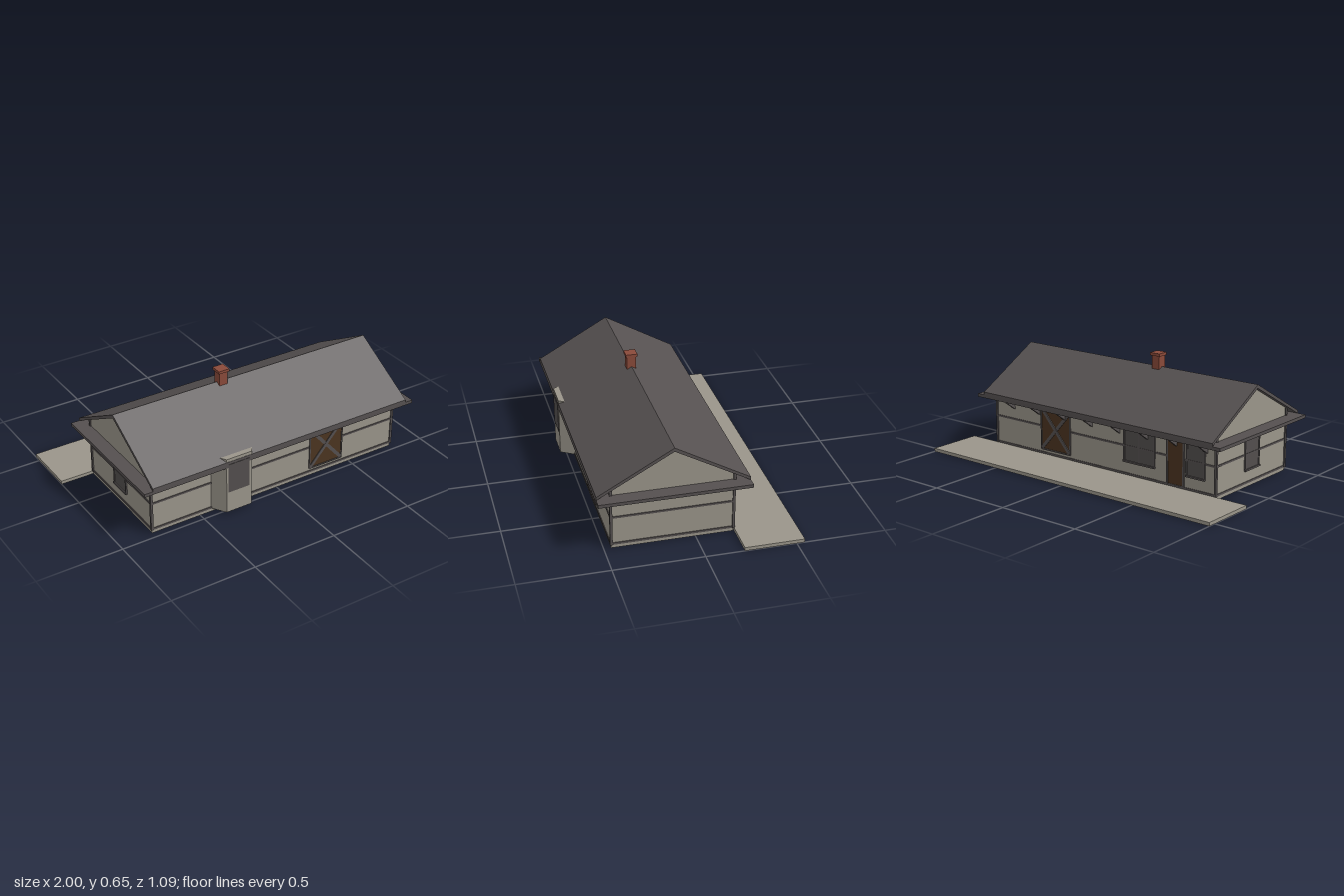
import * as THREE from 'three';

const material = (name, color) => Object.assign(new THREE.MeshStandardMaterial({ color }), { name });

export function createModel() {
  const plaster = material('plaster', 0x9a958a);
  const timber = material('dark timber', 0x555050);
  const roofing = material('roofing', 0x565151);
  const glass = material('glass', 0x524e4d);
  const wood = material('brown wood', 0x4b3420);
  const brick = material('brick', 0x8a4a3a);
  const house = new THREE.Group();
  house.name = 'farmhouse';

  const add = (name, geometry, mat, parent = house) => {
    const mesh = new THREE.Mesh(geometry, mat);
    mesh.name = name;
    parent.add(mesh);
    return mesh;
  };
  // Box given by its limits on each axis
  const box = (name, mat, x0, x1, y0, y1, z0, z1, parent) => {
    const mesh = add(name, new THREE.BoxGeometry(x1 - x0, y1 - y0, z1 - z0), mat, parent);
    mesh.position.set((x0 + x1) / 2, (y0 + y1) / 2, (z0 + z1) / 2);
    return mesh;
  };
  // Profile of [z, y] points extruded along x, centred on x = cx
  const prism = (name, mat, points, width, cx = 0) => {
    const shape = new THREE.Shape(points.map(([z, y]) => new THREE.Vector2(-z, y)));
    const geometry = new THREE.ExtrudeGeometry(shape, { depth: width, bevelEnabled: false });
    geometry.rotateY(Math.PI / 2).translate(cx - width / 2, 0, 0);
    return add(name, geometry, mat);
  };

  const FRONT = 0.46, BACK = -0.21, RIDGE = 0.125, END = 0.8;

  // Base and terrace
  box('foundation', plaster, -END, END, 0, 0.02, BACK, FRONT);
  box('terrace', plaster, -1, 1, 0, 0.02, -0.545, -0.213);

  // Walls with gables, eave board and roof
  prism('walls', plaster, [[FRONT, 0.02], [FRONT, 0.368], [RIDGE, 0.556], [BACK, 0.368], [BACK, 0.02]], 2 * END);
  box('eaveBoard', timber, -0.88, 0.88, 0.305, 0.324, -0.29, 0.54);
  prism('roof', roofing, [[0.54, 0.323], [0.54, 0.341], [RIDGE, 0.574], [-0.29, 0.341], [-0.29, 0.323], [RIDGE, 0.553]], 1.66);

  // Chimney
  box('chimney', brick, -0.18, -0.127, 0.53, 0.64, 0.099, 0.152);
  box('chimneyCap', brick, -0.187, -0.12, 0.637, 0.653, 0.092, 0.159);

  // Corner posts
  for (const x of [-END, END]) for (const z of [BACK, FRONT]) {
    const inner = z === FRONT ? z - 0.008 : z + 0.008;
    const outer = z === FRONT ? z + 0.006 : z - 0.006;
    box('cornerPost', timber, x - 0.007, x + 0.007, 0.02, 0.368, Math.min(inner, outer), Math.max(inner, outer));
  }

  // Horizontal rails, interrupted by the doors and the bay
  const rails = [[0.02, 0.032], [0.182, 0.193]];
  const spans = {
    front: [[-END, -0.43], [-0.17, 0.22], [0.44, END]],
    back: [[-END, -0.59], [-0.48, 0.22], [0.44, END]],
  };
  rails.forEach(([y0, y1], i) => {
    for (const [side, z] of [['front', FRONT], ['back', BACK]]) {
      const runs = i === 0 ? [[-END, END]] : spans[side];
      for (const [a, b] of runs) box(side + 'Rail', timber, a, b, y0, y1, z - 0.004, z + 0.004);
    }
    for (const x of [-END, END]) box('endRail', timber, x - 0.004, x + 0.004, y0, y1, BACK, FRONT);
  });

  // Eave brackets along both long sides
  for (let i = 0; i < 8; i++) {
    const x = -0.74 + 0.2 * i;
    if (i !== 2) prism('frontBracket', timber, [[FRONT, 0.306], [0.527, 0.306], [0.527, 0.297], [FRONT, 0.25]], 0.013, x);
    prism('backBracket', timber, [[BACK, 0.306], [BACK, 0.25], [-0.277, 0.297], [-0.277, 0.306]].reverse(), 0.013, x);
  }

  // Bay with slanted cheeks and a tall window
  const plan = new THREE.Shape([[-0.43, 0.44], [-0.43, FRONT], [-0.38, 0.539], [-0.22, 0.539], [-0.17, FRONT], [-0.17, 0.44]]
    .map(([x, z]) => new THREE.Vector2(x, -z)));
  const bay = new THREE.ExtrudeGeometry(plan, { depth: 0.34, bevelEnabled: false });
  add('bay', bay.rotateX(-Math.PI / 2).translate(0, 0.02, 0), plaster);
  box('bayWindow', glass, -0.37, -0.236, 0.148, 0.325, 0.536, 0.542);

  // Braced doors, front and back
  for (const [side, z, out] of [['front', FRONT, 1], ['back', BACK, -1]]) {
    const door = new THREE.Group();
    door.name = side + 'BarnDoor';
    door.position.set(0.33, 0.176, z);
    house.add(door);
    const w = 0.11, h = 0.126, t = 0.006;
    box('doorPanel', wood, -w, w, -h, h, -0.004, 0.004, door);
    const near = out * 0.005;
    for (const s of [-1, 1]) {
      box('doorStile', timber, s * w - 0.004, s * w + 0.004, -h, h, near - t / 2, near + t / 2, door);
      box('doorRail', timber, -w, w, s * h - 0.004, s * h + 0.004, near - t / 2, near + t / 2, door);
      const brace = add('doorBrace', new THREE.BoxGeometry(2 * Math.hypot(w, h) * 0.95, 0.02, t + s * 0.001), timber, door);
      brace.position.z = near;
      brace.rotation.z = s * Math.atan2(h, w);
    }
  }

  // Back entrance
  box('backDoor', wood, -0.585, -0.485, 0.035, 0.285, BACK - 0.005, BACK);
  for (const x of [-0.59, -0.48]) box('backDoorJamb', timber, x - 0.006, x + 0.006, 0.03, 0.29, BACK - 0.007, BACK);
  box('backDoorHead', timber, -0.596, -0.474, 0.283, 0.293, BACK - 0.007, BACK);

  // Framed windows, built facing +z and then turned to the wall
  const addWindow = (name, width, panes, x, z, turn) => {
    const group = new THREE.Group();
    group.name = name;
    group.position.set(x, 0, z);
    group.rotation.y = turn;
    house.add(group);
    const w = width / 2, y0 = 0.1, y1 = 0.28;
    box('windowPane', glass, -w, w, y0, y1, 0, 0.005, group);
    for (let i = 0; i <= panes; i++) {
      const mx = -w + (width * i) / panes;
      box('windowUpright', timber, mx - 0.005, mx + 0.005, y0, y1, 0, 0.008, group);
    }
    for (const y of [0.19, y1]) box('windowBar', timber, -w, w, y - 0.004, y + 0.004, 0, 0.007, group);
    box('windowSill', timber, -w - 0.006, w + 0.006, y0 - 0.005, y0 + 0.005, 0, 0.013, group);
  };
  addWindow('wideBackWindow', 0.21, 2, -0.285, BACK, Math.PI);
  addWindow('smallBackWindow', 0.115, 1, -0.67, BACK, Math.PI);
  addWindow('endWindow', 0.13, 1, -END, RIDGE, -Math.PI / 2);

  return house;
}
